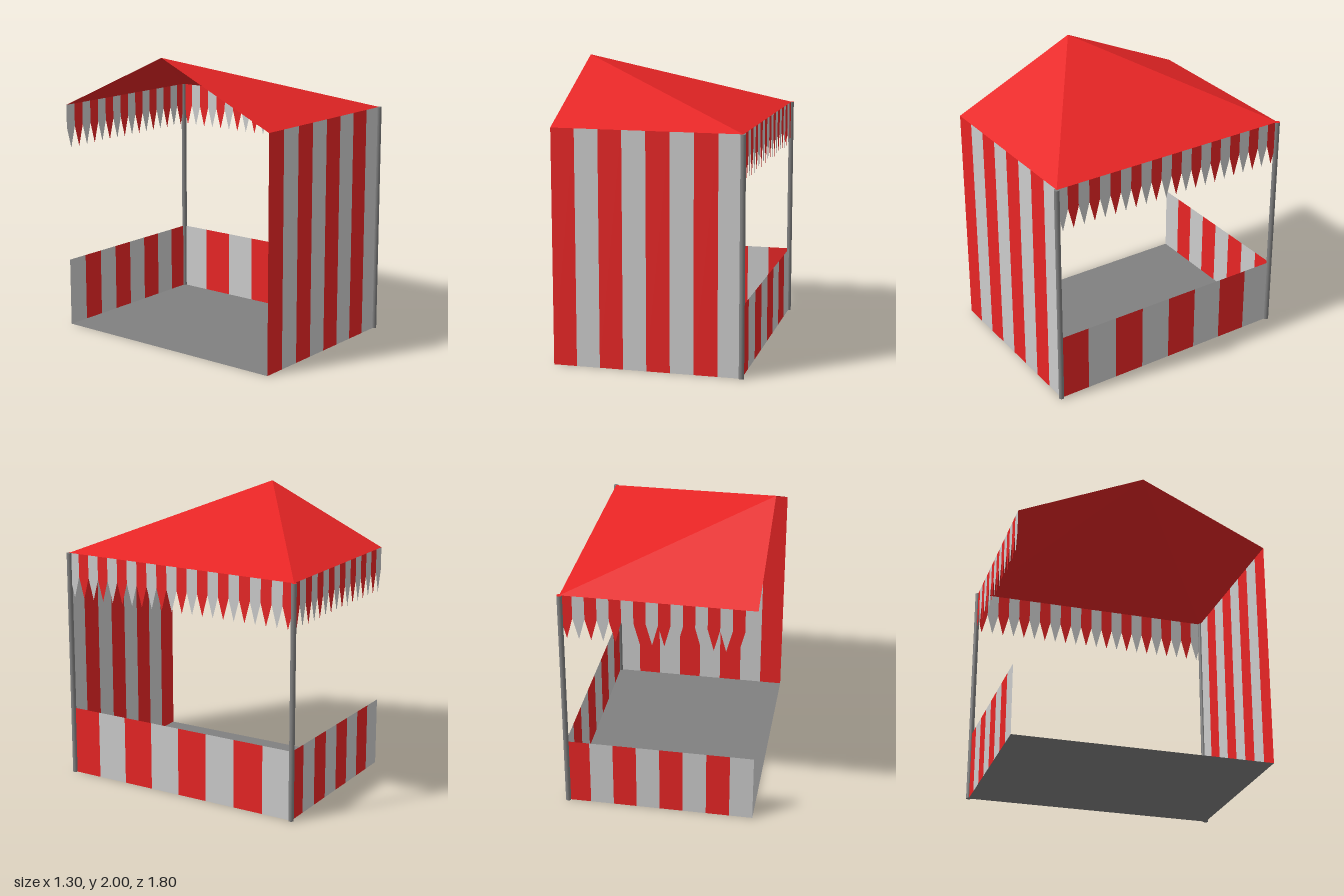
import * as THREE from 'three';

const X0 = -0.65, X1 = 0.63, Z = 0.88, EAVE = 1.6, PEAK = 2;
const WIDTH = X1 - X0, DEPTH = 2 * Z;

const cloth = (color) => new THREE.MeshStandardMaterial({ color, side: THREE.DoubleSide });
const red = cloth(0xe82525);
const pale = cloth(0xcccccc);
const dark = cloth(0x808080);

// Upright strip of cloth; a tip lower than the sides makes a pointed end
function stripShape(w, top, side, tip) {
  const s = new THREE.Shape();
  s.moveTo(0, top);
  s.lineTo(0, side);
  if (tip < side) s.lineTo(w / 2, tip);
  s.lineTo(w, side);
  s.lineTo(w, top);
  s.closePath();
  return new THREE.ShapeGeometry(s);
}

// Row of strips in alternating colours, running along local +x
function stripedPanel(name, length, count, { top, side, tip = side, colors = [red, pale] }) {
  const panel = new THREE.Group();
  panel.name = name;
  const w = length / count;
  const geometry = stripShape(w, top, side, tip);
  for (let i = 0; i < count; i++) {
    const strip = new THREE.Mesh(geometry, colors[i % 2]);
    strip.name = `${name}Stripe`;
    strip.position.x = i * w;
    panel.add(strip);
  }
  return panel;
}

function place(panel, x, z, turn) {
  panel.position.set(x, 0, z);
  panel.rotation.y = turn;
  return panel;
}

export function createModel() {
  const stall = new THREE.Group();
  stall.name = 'marketStall';

  // Cloth walls: one full height, two at counter height
  const low = { top: 0.48, side: 0 };
  stall.add(
    place(stripedPanel('tallWall', WIDTH, 8, { top: EAVE, side: 0 }), X0, Z, 0),
    place(stripedPanel('sideCounter', DEPTH, 8, low), X1, Z, Math.PI / 2),
    place(stripedPanel('backCounter', WIDTH, 8, low), X1, -Z, Math.PI)
  );

  // Pointed valances under the eaves of the open sides
  const fringe = { top: EAVE, side: 1.44, tip: 1.29 };
  stall.add(
    place(stripedPanel('sideValance', DEPTH, 22, { ...fringe, colors: [pale, red] }), X1, Z, Math.PI / 2),
    place(stripedPanel('backValance', WIDTH, 16, fringe), X1, -Z, Math.PI)
  );

  // Roof: three slopes meeting at a peak above the open end
  const peak = [X0, PEAK, 0];
  const corners = [[X0, EAVE, Z], [X1, EAVE, Z], [X1, EAVE, -Z], [X0, EAVE, -Z]];
  const points = [];
  for (let i = 0; i < 3; i++) points.push(...corners[i], ...corners[i + 1], ...peak);
  const roofGeometry = new THREE.BufferGeometry();
  roofGeometry.setAttribute('position', new THREE.Float32BufferAttribute(points, 3));
  roofGeometry.computeVertexNormals();
  const roof = new THREE.Mesh(roofGeometry, red);
  roof.name = 'roof';
  stall.add(roof);

  // Floor sheet
  const floor = new THREE.Mesh(new THREE.PlaneGeometry(WIDTH, DEPTH), dark);
  floor.name = 'floor';
  floor.rotation.x = -Math.PI / 2;
  floor.position.x = (X0 + X1) / 2;
  stall.add(floor);

  // Corner poles, the back one with a red cap
  const poleGeometry = new THREE.CylinderGeometry(0.018, 0.018, EAVE, 16);
  for (const [name, z, cap] of [['frontPole', Z, dark], ['backPole', -Z, red]]) {
    const pole = new THREE.Mesh(poleGeometry, [dark, cap, dark]);
    pole.name = name;
    pole.position.set(X1, EAVE / 2, z);
    stall.add(pole);
  }

  return stall;
}
